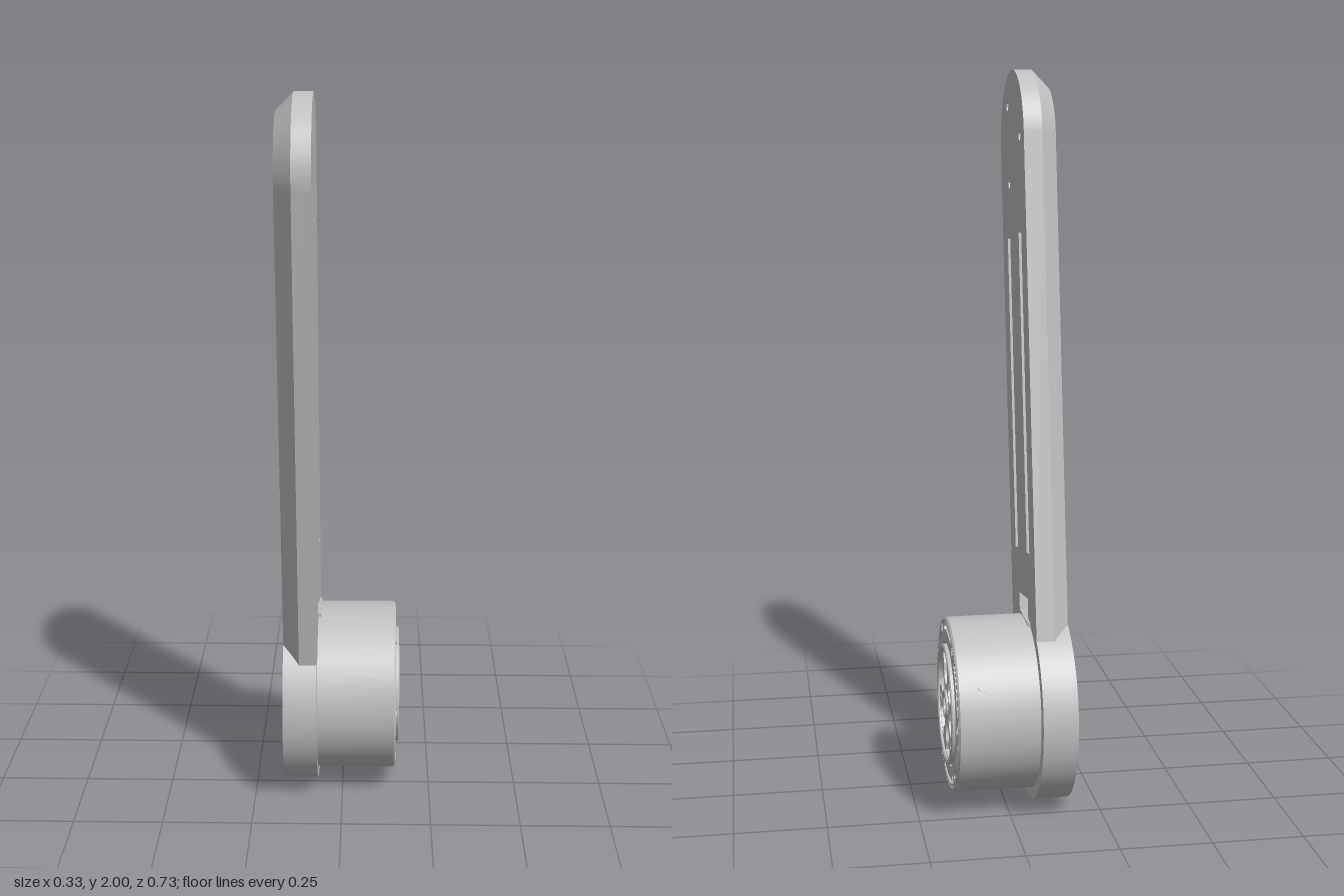
import * as THREE from 'three';
import { toCreasedNormals } from 'three/addons/utils/BufferGeometryUtils.js';

const TILT = 0.1694;     // lean of the arm
const R_DISC = 0.273;    // round base of the arm
const R_ARM = 0.195;     // half width of the arm
const L = 1.554;         // base centre to tip centre
const CHAMFER = 0.045;
const DEG = Math.PI / 180;

const metal = new THREE.MeshStandardMaterial({ color: 0xc0c0c0 });
metal.name = 'grey metal';

const polar = (r, deg) => [r * Math.cos(deg * DEG), r * Math.sin(deg * DEG)];
const circle = (x, y, r) => new THREE.Path().absarc(x, y, r, 0, Math.PI * 2, false);

function disc(r, holes = []) {
  const s = new THREE.Shape();
  s.absarc(0, 0, r, 0, Math.PI * 2, false);
  s.holes.push(...holes);
  return s;
}

function rectangle(x, y0, y1, w) {
  return new THREE.Path()
    .moveTo(x - w / 2, y0).lineTo(x + w / 2, y0)
    .lineTo(x + w / 2, y1).lineTo(x - w / 2, y1).closePath();
}

// six holes evenly spaced, or every second one of them
function holeRing(r, size, step = 60, start = 0) {
  const out = [];
  for (let a = start; a < 360 + start; a += step) out.push(circle(...polar(r, a), size));
  return out;
}

function arcSlot(r, half, mid, spread) {
  const a0 = (mid - spread) * DEG, a1 = (mid + spread) * DEG;
  return new THREE.Path()
    .absarc(0, 0, r + half, a0, a1, false)
    .absarc(...polar(r, mid + spread), half, a1, a1 + Math.PI, false)
    .absarc(0, 0, r - half, a1, a0, true)
    .absarc(...polar(r, mid - spread), half, a0 + Math.PI, a0 + Math.PI * 2, false);
}

// flat part between two depths along the motor axis
function slab(shape, z0, z1, curveSegments = 40) {
  const g = new THREE.ExtrudeGeometry(shape, { depth: z1 - z0, bevelEnabled: false, curveSegments });
  return g.translate(0, 0, z0);
}

function add(parent, name, geometry) {
  const mesh = new THREE.Mesh(toCreasedNormals(geometry, 0.5), metal);
  mesh.name = name;
  parent.add(mesh);
  return mesh;
}

function armHoles() {
  const holes = [-0.093, 0.093].map((x) => rectangle(x, 0.42, 1.297, 0.042));
  for (const a of [0, 120, 240]) {
    const [x, y] = polar(0.125, a);
    holes.push(circle(x, y + L, 0.015));
  }
  return holes;
}

const baseHoles = () => [circle(0, 0, 0.095), ...holeRing(0.205, 0.012)];

function buildArm(parent) {
  // inner layer: round base and arm in one outline, with the connector pocket
  const join = Math.acos(R_ARM / R_DISC);
  const front = new THREE.Shape();
  front.absarc(0, 0, R_DISC, Math.PI - join, Math.PI * 2 + join, false);
  front.absarc(0, L, R_ARM, 0, Math.PI, false);
  front.closePath();
  front.holes.push(...armHoles(), ...baseHoles(), rectangle(0, 0.2, 0.293, 0.14));
  add(parent, 'armInnerLayer', slab(front, -0.12, -0.07, 60));

  // outer layer of the base
  add(parent, 'armBaseDisc', slab(disc(R_DISC, baseHoles()), -0.165, -0.12, 64));

  // outer layer of the arm, its rim drawn in to form the chamfer
  const back = new THREE.Shape();
  back.moveTo(-R_ARM, 0.19).lineTo(R_ARM, 0.19);
  back.absarc(0, L, R_ARM, 0, Math.PI, false);
  back.closePath();
  back.holes.push(...armHoles());
  const g = slab(back, -0.165, -0.12);
  const p = g.attributes.position;
  const k = (R_ARM - CHAMFER) / R_ARM;
  for (let i = 0; i < p.count; i++) {
    if (p.getZ(i) > -0.15) continue;
    const x = p.getX(i), dy = Math.max(0, p.getY(i) - L);
    if (Math.hypot(x, dy) < R_ARM - 0.002) continue;
    p.setX(i, x * k);
    if (dy > 0) p.setY(i, L + dy * k);
  }
  add(parent, 'armChamferedLayer', g);
}

function buildHousing(parent) {
  // cup with a rim groove and a recess for the rotor
  const profile = [[0, -0.07], [0.241, -0.07], [0.241, 0.147], [0.236, 0.152], [0.23, 0.152],
    [0.23, 0.132], [0.172, 0.132], [0.172, 0.1], [0, 0.1]];
  const cup = new THREE.LatheGeometry(profile.map((q) => new THREE.Vector2(...q)), 72);
  add(parent, 'motorHousing', cup.rotateX(Math.PI / 2));

  // front ring with arc slots and screw holes
  const cuts = [circle(0, 0, 0.172), ...holeRing(0.213, 0.009)];
  for (let a = 30; a < 390; a += 60) cuts.push(arcSlot(0.213, 0.007, a, 18));
  add(parent, 'housingFrontRing', slab(disc(0.227, cuts), 0.132, 0.152, 48));

  // screw collars on the front ring
  for (let a = 0; a < 360; a += 60) {
    const collar = new THREE.TorusGeometry(0.011, 0.003, 6, 20);
    add(parent, 'screwCollar', collar.translate(...polar(0.213, a), 0.152));
  }

  // small radial screws around the side
  for (const a of [30, 150, 270]) {
    const screw = new THREE.CylinderGeometry(0.012, 0.012, 0.008, 16);
    screw.rotateZ((a - 90) * DEG).translate(...polar(0.24, a), 0.085);
    add(parent, 'sideScrew', screw);
  }

  // cable connector at the back edge
  add(parent, 'cableConnector',
    new THREE.BoxGeometry(0.124, 0.05, 0.02).translate(0, 0.219, -0.072));
}

function buildRotor(parent) {
  // face with six petal pockets and three screw holes on the spokes
  const outline = [[0.058, -17], [0.09, -22], [0.118, -15], [0.145, -18], [0.15, 0],
    [0.145, 18], [0.118, 15], [0.09, 22], [0.058, 17], [0.055, 0]];
  const cuts = [circle(0, 0, 0.03), ...holeRing(0.125, 0.012, 120, 60)];
  for (let a = 30; a < 390; a += 60) {
    const pts = outline.map(([r, d]) => new THREE.Vector2(...polar(r, a + d)));
    const curve = new THREE.CatmullRomCurve3(
      pts.map((q) => new THREE.Vector3(q.x, q.y, 0)), true);
    cuts.push(new THREE.Path(curve.getPoints(40).slice(0, -1).map((q) => new THREE.Vector2(q.x, q.y))));
  }
  add(parent, 'rotorFace', slab(disc(0.16, cuts), 0.1, 0.155, 48));

  // raised rim and hub, turned with small edge bevels
  const ring = (name, r0, r1) => {
    const b = 0.003;
    const profile = [[r1, 0.1], [r1, 0.162 - b], [r1 - b, 0.162], [r0 + b, 0.162], [r0, 0.162 - b], [r0, 0.1]];
    const g = new THREE.LatheGeometry(profile.map((q) => new THREE.Vector2(...q)), 64);
    add(parent, name, g.rotateX(Math.PI / 2));
  };
  ring('rotorRim', 0.153, 0.167);
  ring('rotorHub', 0.029, 0.041);
}

export function createModel() {
  const model = new THREE.Group();
  model.name = 'motorArm';

  // local z runs along the motor axis, which points to +x
  const axis = new THREE.Group();
  axis.name = 'motorAxis';
  axis.position.set(0, R_DISC, -0.092);
  axis.rotation.y = Math.PI / 2;
  model.add(axis);

  const group = (name, tilt) => {
    const g = new THREE.Group();
    g.name = name;
    g.rotation.z = tilt;
    axis.add(g);
    return g;
  };
  buildArm(group('arm', TILT));
  buildHousing(group('motor', 0));
  buildRotor(group('rotor', TILT));
  return model;
}
